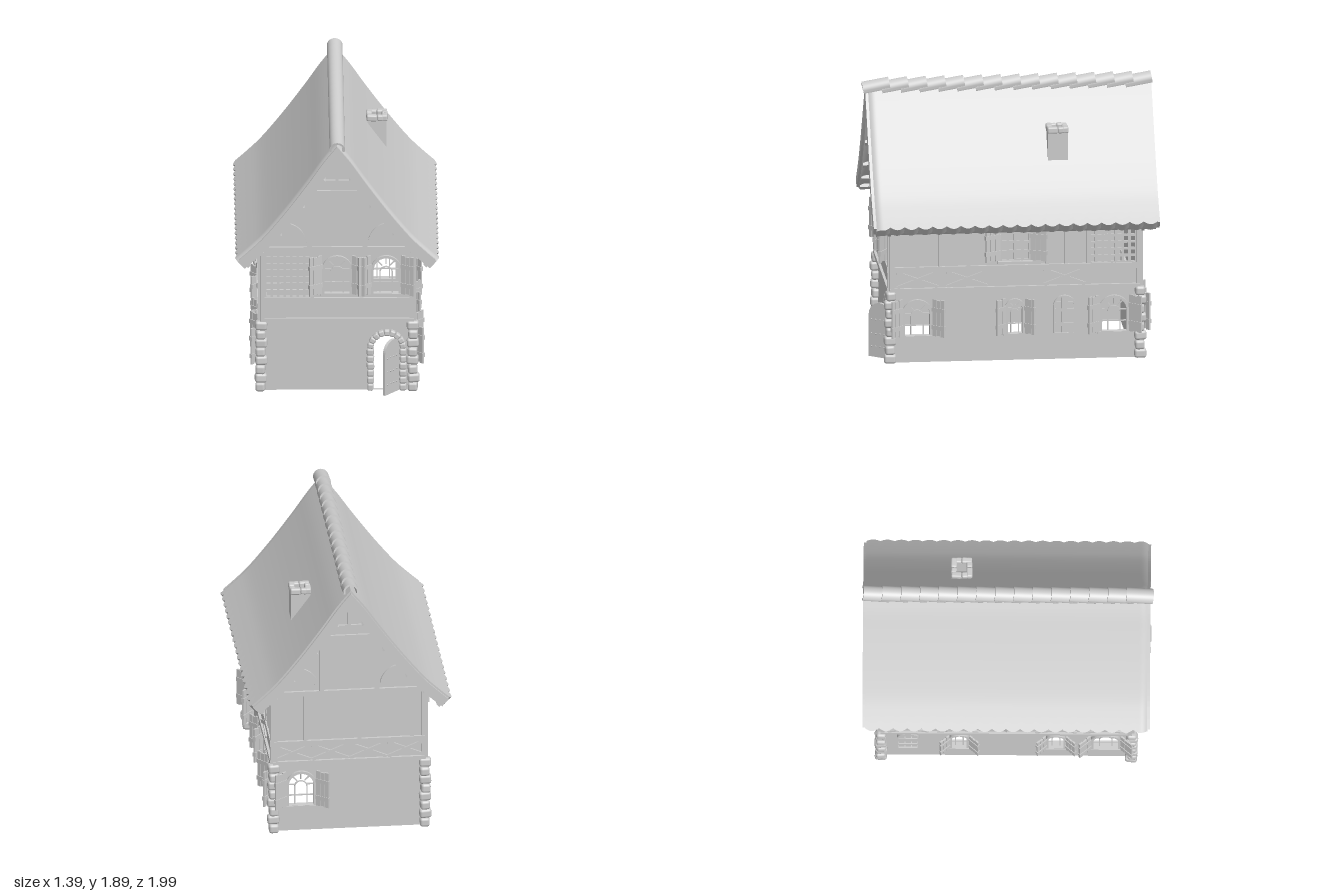
import * as THREE from 'three';
import { toCreasedNormals } from 'three/addons/utils/BufferGeometryUtils.js';
import { RoundedBoxGeometry } from 'three/addons/geometries/RoundedBoxGeometry.js';

const grey = new THREE.MeshStandardMaterial({ color: 0xcccccc, side: THREE.DoubleSide });
grey.name = 'plainGrey';
let seed = 7;
const rand = () => (seed = (seed * 16807) % 2147483647) / 2147483647;

function add(parent, name, geo, x = 0, y = 0, z = 0) {
  const m = new THREE.Mesh(geo, grey);
  m.name = name;
  m.position.set(x, y, z);
  parent.add(m);
  return m;
}
function group(parent, name) {
  const g = new THREE.Group();
  g.name = name;
  parent.add(g);
  return g;
}
const extrude = (shape, depth, steps = 1) =>
  new THREE.ExtrudeGeometry(shape, { depth, steps, bevelEnabled: false, curveSegments: 10 });
// box between two corners on a facade, standing proud from z0 by d
const beam = (p, u0, u1, y0, y1, d = 0.015, z0 = 0, name = 'timber') =>
  add(p, name, new THREE.BoxGeometry(u1 - u0, y1 - y0, d), (u0 + u1) / 2, (y0 + y1) / 2, z0 + d / 2);
function brace(p, u0, y0, u1, y1, w = 0.022, d = 0.013) {
  const m = add(p, 'brace', new THREE.BoxGeometry(Math.hypot(u1 - u0, y1 - y0), w, d), (u0 + u1) / 2, (y0 + y1) / 2, d / 2);
  m.rotation.z = Math.atan2(y1 - y0, u1 - u0);
}
function cross(p, u, half = 0.14) {
  brace(p, u - half, 0.535, u + half, 0.64);
  brace(p, u - half, 0.64, u + half, 0.535, 0.022, 0.011);
}
function arch(u, y, w, h, C = THREE.Shape) {
  const s = new C(), r = w / 2;
  s.moveTo(u - r, y);
  s.lineTo(u + r, y);
  s.lineTo(u + r, y + h - r);
  s.absarc(u, y + h - r, r, 0, Math.PI, false);
  s.closePath();
  return s;
}
function rect(u0, u1, y0, y1) {
  return new THREE.Shape([[u0, y0], [u1, y0], [u1, y1], [u0, y1]].map(a => new THREE.Vector2(...a)));
}
function archRing(u, y, w, h, t) {
  const s = arch(u, y, w + 2 * t, h + t);
  s.holes.push(arch(u, y + 0.002, w, h, THREE.Path));
  return s;
}
function shutter(p, u, y, w, h, side, angle) {
  const g = group(p, 'shutter');
  g.position.set(u, y, 0.02);
  g.rotation.y = -side * angle;
  for (let i = 0; i < 3; i++)
    add(g, 'plank', new THREE.BoxGeometry(w / 3 - 0.003, h - 0.012 * (i % 2), 0.012), side * w * (i + 0.5) / 3, h / 2, 0);
  for (const k of [0.24, 0.72])
    add(g, 'batten', new THREE.BoxGeometry(w * 1.05, 0.03, 0.022), side * w / 2, h * k, 0);
}
function archWindow(p, u, y, w, h, angle = 0.65, sw = 0.1) {
  const g = group(p, 'archedWindow');
  add(g, 'frame', extrude(archRing(u, y, w, h, 0.02), 0.03), 0, 0, -0.01);
  add(g, 'innerFrame', extrude(archRing(u, y, w * 0.45, h * 0.72, 0.008), 0.012), 0, 0, -0.015);
  const r = w / 2, cy = y + h - r;
  for (const a of [0, 0.25, 0.5, 0.75, 1].map(k => k * Math.PI)) {
    const m = add(g, 'glazingBar', new THREE.BoxGeometry(r * 0.6, 0.008, 0.01), u + Math.cos(a) * r * 0.75, cy + Math.sin(a) * r * 0.75, -0.01);
    m.rotation.z = a;
  }
  beam(g, u - r, u + r, y + h * 0.28, y + h * 0.28 + 0.008, 0.01, -0.015, 'glazingBar');
  beam(g, u - r - 0.03, u + r + 0.03, y - 0.015, y, 0.035, -0.01, 'sill');
  for (const s of [-1, 1]) shutter(g, u + s * (r + 0.02), y, sw, h + 0.025, s, angle);
}
function lattice(p, u0, u1, y0, y1, nx, ny) {
  const g = group(p, 'latticeWindow');
  for (let i = 0; i <= nx; i++) {
    const u = u0 + (u1 - u0) * i / nx;
    beam(g, u - 0.009, u + 0.009, y0, y1, 0.016, -0.008, 'latticeBar');
  }
  for (let j = 0; j <= ny; j++) {
    const y = y0 + (y1 - y0) * j / ny;
    beam(g, u0, u1, y - 0.008, y + 0.008, 0.012, -0.006, 'latticeBar');
  }
}
function closedHatch(p, u, y, w, h) {
  add(p, 'hatchFrame', extrude(archRing(u, y, w, h, 0.012), 0.02));
  for (let i = 0; i < 3; i++) beam(p, u + w * (i / 3 - 0.5) + 0.003, u + w * ((i + 1) / 3 - 0.5) - 0.003, y, y + h - (i === 1 ? 0.003 : 0.035), 0.01, 0, 'hatchPlank');
  for (const k of [0.2, 0.6]) beam(p, u - w / 2, u + w / 2, y + h * k, y + h * k + 0.02, 0.016, 0, 'hatchBatten');
}
// a facade: local x runs along the wall, local z points outwards
function facade(root, name, turn, dist, outline, holes) {
  const pivot = group(root, name);
  pivot.rotation.y = turn;
  const g = group(pivot, name + 'Face');
  g.position.z = dist;
  outline.holes = holes;
  add(g, name + 'Wall', extrude(outline, 0.03), 0, 0, -0.03);
  return g;
}
// roof profile, offset inwards by t; right half from ridge to eave
const roofCurve = new THREE.SplineCurve([[0, 1.835], [0.1, 1.71], [0.2, 1.565], [0.35, 1.36], [0.5, 1.175], [0.6, 1.075], [0.68, 1.003]].map(a => new THREE.Vector2(...a)));
function offset(t) {
  const pts = [];
  for (let i = 0; i <= 24; i++) {
    const p = roofCurve.getPoint(i / 24), d = roofCurve.getTangent(i / 24);
    pts.push(new THREE.Vector2(p.x + d.y * t, p.y - d.x * t));
  }
  const a = pts.filter(p => p.x > 0.003);
  const k = (a[1].y - a[0].y) / (a[1].x - a[0].x);
  return [new THREE.Vector2(0, a[0].y - k * a[0].x), ...a];
}
const flip = pts => pts.slice(1).reverse().map(p => new THREE.Vector2(-p.x, p.y));
const full = t => [...flip(offset(t)), ...offset(t)];
const band = (t0, t1) => new THREE.Shape([...full(t0), ...full(t1).reverse()]);
function gableOutline(w) {
  const top = offset(0.04).filter(p => p.x < w);
  const V = (x, y) => new THREE.Vector2(x, y);
  return new THREE.Shape([V(-w, 0.5), V(w, 0.5), V(w, 1.08), ...top.slice().reverse(), ...flip(top).reverse(), V(-w, 1.08)]);
}
function frameBeams(p, w, posts) {
  beam(p, -w, w, 0.5, 0.53, 0.018);
  beam(p, -w, w, 0.64, 0.68, 0.018);
  beam(p, -w, w, 1.015, 1.05, 0.018);
  for (const s of [-1, 1]) beam(p, s * (w - 0.015) - 0.015, s * (w - 0.015) + 0.015, 0.5, 1.05, 0.016);
  for (const u of posts) beam(p, u - 0.013, u + 0.013, 0.68, 1.02);
}
function gableTimbers(p) {
  beam(p, -0.24, 0.24, 1.425, 1.46);
  beam(p, -0.17, 0.17, 1.5, 1.535);
  beam(p, -0.01, 0.01, 1.53, 1.71);
  add(p, 'gableRafters', extrude(band(0.06, 0.11), 0.02));
  for (const s of [-1, 1]) {
    beam(p, s * 0.19 - 0.017, s * 0.19 + 0.017, 1.04, 1.5);
    const arc = new THREE.Shape();
    arc.absarc(0, 0, 0.155, 0, 1.5, false);
    arc.absarc(0, 0, 0.13, 1.5, 0, true);
    const m = add(p, 'curvedBrace', extrude(arc, 0.015), s * 0.365, 1.07, 0);
    if (s > 0) m.rotation.y = Math.PI, m.position.z = 0.015;
  }
}
function stone(p, w, h, d, x, y, z) {
  const m = add(p, 'stone', new RoundedBoxGeometry(w, h, d, 2, Math.min(w, h, d) * 0.28), x, y, z);
  m.rotation.set((rand() - 0.5) * 0.1, (rand() - 0.5) * 0.2, (rand() - 0.5) * 0.1);
  return m;
}

export function createModel() {
  const root = new THREE.Group();
  root.name = 'timberHouse';
  const H = Math.PI / 2;

  // ground floor
  const big = [0.17, 0.235], small = [0.1, 0.225];
  const gf = facade(root, 'lowerFront', 0, 0.845, rect(-0.505, 0.505, 0, 0.5), [arch(0.34, 0.001, 0.19, 0.4)]);
  const gb = facade(root, 'lowerBack', 2 * H, 0.845, rect(-0.505, 0.505, 0, 0.5), [arch(-0.33, 0.19, ...big)]);
  archWindow(gb, -0.33, 0.19, ...big);
  const lefts = [[-0.67, big], [0, small], [0.68, big]], rights = [[0.68, big], [0.34, small], [-0.32, small]];
  const gl = facade(root, 'lowerLeft', H, 0.505, rect(-0.845, 0.845, 0, 0.5), lefts.map(([u, s]) => arch(u, 0.19, ...s)));
  const gr = facade(root, 'lowerRight', -H, 0.505, rect(-0.845, 0.845, 0, 0.5), rights.map(([u, s]) => arch(u, 0.19, ...s)));
  for (const [u, s] of lefts) archWindow(gl, u, 0.19, ...s, 0.7, s === big ? 0.1 : 0.08);
  for (const [u, s] of rights) archWindow(gr, u, 0.19, ...s, 0.7, s === big ? 0.1 : 0.08);
  closedHatch(gl, 0.34, 0.185, 0.13, 0.255);
  closedHatch(gr, -0.67, 0.185, 0.13, 0.255);

  // open door and its stone arch
  const door = group(gf, 'door');
  door.position.set(0.435, 0, -0.01);
  door.rotation.y = 0.9;
  add(door, 'doorLeaf', extrude(arch(-0.095, 0.005, 0.18, 0.385), 0.02), 0, 0, -0.01);
  for (const y of [0.08, 0.17, 0.27]) for (let i = 0; i < 5; i++)
    add(door, 'stud', new THREE.SphereGeometry(0.006, 6, 4), -0.025 - i * 0.034, y, 0.011);
  const arc = group(gf, 'doorStones');
  for (let i = 0; i < 6; i++) for (const x of [0.228, 0.45])
    stone(arc, 0.04 + rand() * 0.012, 0.05, 0.06, x, 0.026 + i * 0.051, 0.005);
  for (let i = 0; i < 9; i++) {
    const a = Math.PI * (i + 0.5) / 9;
    stone(arc, 0.042, 0.04, 0.06, 0.34 + Math.cos(a) * 0.112, 0.308 + Math.sin(a) * 0.112, 0.005).rotation.z = a;
  }

  // corner stones
  for (const sx of [-1, 1]) for (const sz of [-1, 1]) {
    const g = group(root, 'cornerStones');
    for (let i = 0; i < 8; i++) {
      const k = i % 2;
      stone(g, 0.066 + k * 0.016, 0.064, 0.082 - k * 0.016, sx * (0.516 + rand() * 0.008), 0.033 + i * 0.0635, sz * (0.852 + rand() * 0.008));
    }
  }

  // upper front
  const up = [0.17, 0.255], W = 0.525, D = 0.86;
  const uf = facade(root, 'upperFront', 0, D, gableOutline(W), [rect(-0.49, -0.18, 0.68, 1.015), arch(0, 0.71, ...up), arch(0.335, 0.71, ...up)]);
  frameBeams(uf, W, [-0.17, 0.167]);
  lattice(uf, -0.49, -0.18, 0.68, 1.015, 7, 7);
  archWindow(uf, 0, 0.71, ...up, 0.55);
  archWindow(uf, 0.335, 0.71, ...up, 0.55);
  // upper back
  const ub = facade(root, 'upperBack', 2 * H, D, gableOutline(W), []);
  frameBeams(ub, W, [-0.3, 0.07, 0.43]);
  for (const u of [-0.39, -0.13, 0.13, 0.39]) cross(ub, u, 0.125);
  gableTimbers(uf);
  gableTimbers(ub);
  // upper long sides
  const ul = facade(root, 'upperLeft', H, W, rect(-D, D, 0.5, 1.07), [rect(-0.1, 0.1, 0.71, 0.97), rect(0.51, 0.83, 0.68, 1.015)]);
  frameBeams(ul, D, [-0.67, -0.515, -0.32, 0.22, 0.35, 0.5]);
  lattice(ul, 0.51, 0.83, 0.68, 1.015, 7, 7);
  lattice(ul, -0.1, 0.1, 0.71, 0.97, 4, 4);
  beam(ul, -0.12, 0.12, 0.69, 0.71, 0.04, 0, 'sill');
  for (const s of [-1, 1]) shutter(ul, s * 0.105, 0.715, 0.115, 0.24, s, 0.45);
  for (const u of [-0.67, -0.33, 0.34]) cross(ul, u);
  const ur = facade(root, 'upperRight', -H, W, rect(-D, D, 0.5, 1.07), [rect(0.2, 0.5, 0.68, 1.015), rect(-0.3, -0.1, 0.71, 0.97)]);
  frameBeams(ur, D, [-0.67, -0.5, 0.03, 0.19, 0.51, 0.68]);
  lattice(ur, 0.2, 0.5, 0.68, 1.015, 7, 7);
  lattice(ur, -0.3, -0.1, 0.71, 0.97, 4, 4);
  for (const s of [-1, 1]) shutter(ur, -0.2 + s * 0.105, 0.715, 0.115, 0.24, s, 0.45);
  for (const u of [-0.67, -0.33, 0.34, 0.67]) cross(ur, u);

  // roof slab with scalloped eaves and a front edge that curls down
  const roof = extrude(band(0, 0.07), 1.93, 160).translate(0, 0, -0.965), P = roof.attributes.position;
  for (let i = 0; i < P.count; i++) {
    const x = P.getX(i), z = P.getZ(i);
    if (Math.abs(x) > 0.62) {
      const s = 0.017 * Math.abs(Math.sin(Math.PI * z / 0.0965));
      P.setXY(i, x + Math.sign(x) * s, P.getY(i) - s * 0.9);
    }
    if (z > 0.92) P.setY(i, P.getY(i) - 0.025 * ((z - 0.92) / 0.045) ** 2);
  }
  add(root, 'roof', toCreasedNormals(roof, 0.6));
  for (const z of [-0.982, 0.962]) add(root, 'bargeBoard', extrude(band(0.012, 0.08), 0.02), 0, 0, z);
  // purlins carrying the overhang
  const line = offset(0.085);
  for (const k of [5, 9, 13, 17, 21]) for (const s of [-1, 1])
    add(root, 'purlin', new THREE.BoxGeometry(0.03, 0.03, 1.92), s * line[k].x, line[k].y, 0).rotation.z = -s * 0.85;

  // ridge tiles, each tilted over the next
  for (let i = 0; i < 15; i++) {
    const tile = group(root, 'ridgeTile');
    tile.position.set(0, 1.818, 0.905 - i * 0.1285);
    tile.rotation.x = 0.17;
    const half = new THREE.Shape();
    half.absarc(0, 0, 0.053, -0.35, Math.PI + 0.35, false);
    half.absarc(0, 0, 0.04, Math.PI + 0.35, -0.35, true);
    add(tile, 'tileShell', toCreasedNormals(extrude(half, 0.185), 0.6), 0, 0, -0.0925);
  }

  // chimney
  const ch = group(root, 'chimney');
  ch.position.set(0.282, 0, -0.31);
  const shaft = rect(-0.066, 0.066, -0.068, 0.068);
  shaft.holes.push(rect(-0.036, 0.036, -0.036, 0.036));
  add(ch, 'shaft', extrude(shaft, 0.25), 0, 1.31, 0).rotation.x = -H;
  for (let i = 0; i < 4; i++) {
    const side = group(ch, 'capSide');
    side.rotation.y = i * H;
    stone(side, 0.072, 0.045, 0.042, -0.035, 1.572, 0.053);
    stone(side, 0.044, 0.042, 0.04, 0.022, 1.572, 0.053);
  }
  return root;
}
